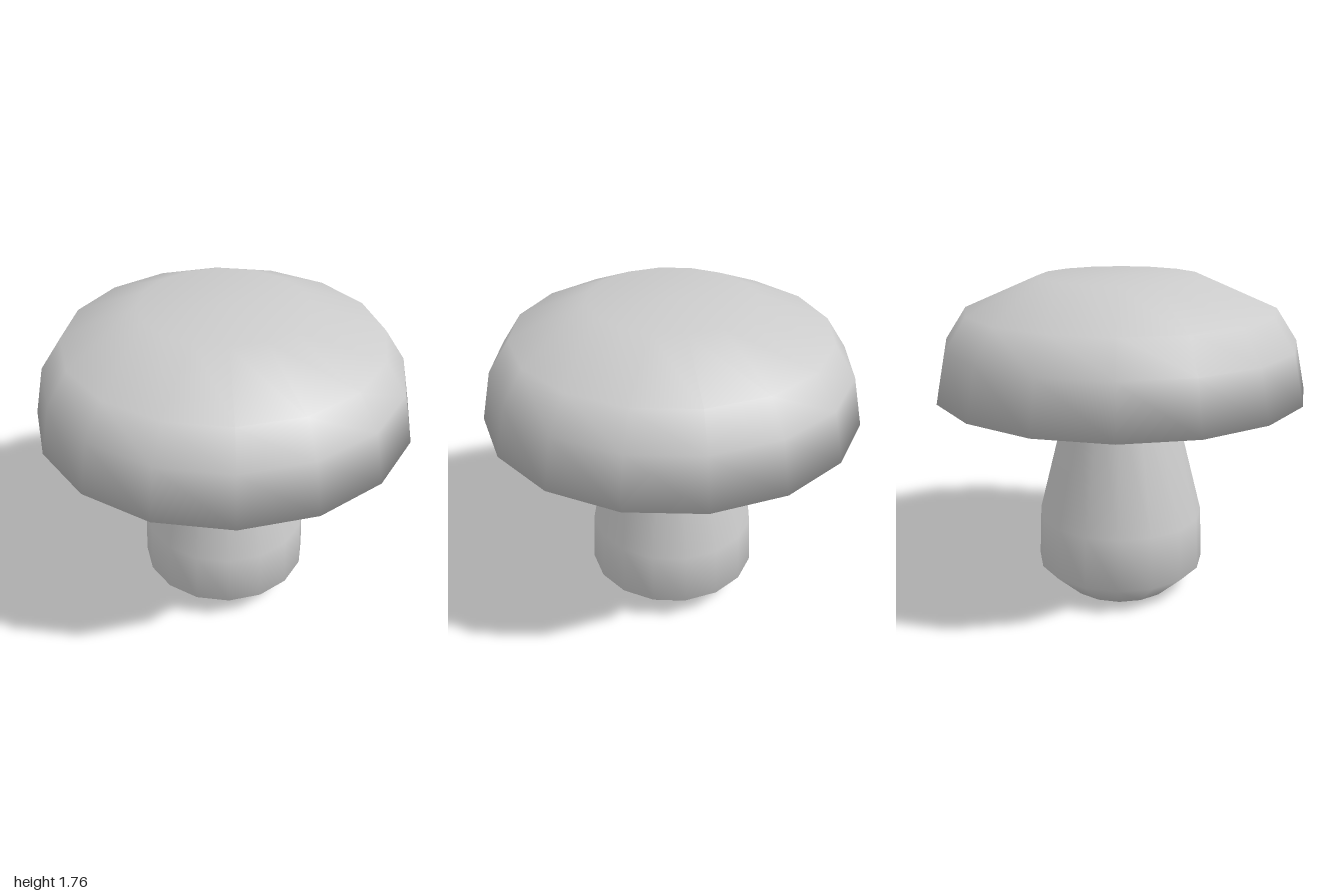
import * as THREE from 'three';

const SIDES = 16;

// Smooth turned part from [radius, height] pairs, listed bottom to top
function turned(name, profile) {
  const points = profile.map(([r, y]) => new THREE.Vector2(r, y));
  const mesh = new THREE.Mesh(
    new THREE.LatheGeometry(points, SIDES),
    new THREE.MeshStandardMaterial({ color: 0xcccccc })
  );
  mesh.name = name;
  return mesh;
}

export function createModel() {
  const group = new THREE.Group();
  group.name = 'mushroom';

  // Bulbous stem, narrowing up to the underside of the cap
  group.add(turned('stem', [
    [0, 0], [0.31, 0], [0.47, 0.15], [0.457, 0.44], [0.28, 1.14]
  ]));

  // Wide cap with a nearly flat underside and a flat crown
  group.add(turned('cap', [
    [0, 1.14], [0.28, 1.14], [1, 1.155], [0.943, 1.42], [0.83, 1.59], [0.435, 1.76], [0, 1.76]
  ]));

  return group;
}
